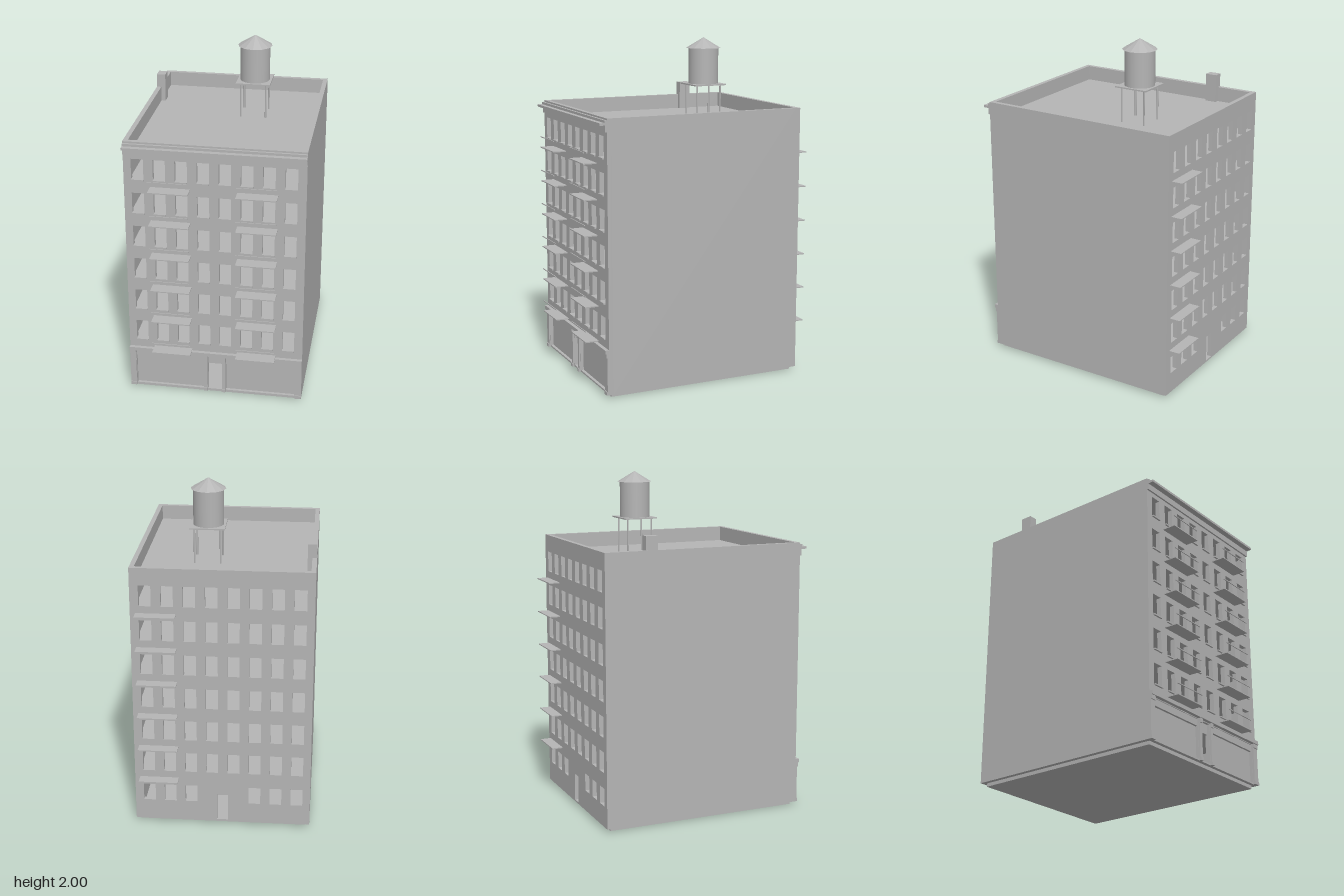
import * as THREE from 'three';

export function createModel() {
  const model = new THREE.Group();
  model.name = 'apartmentBuilding';
  const stone = new THREE.MeshStandardMaterial({ color: 0xb4b4b4 });
  stone.name = 'grey stone';

  const add = (name, geometry, parent = model) => {
    const mesh = new THREE.Mesh(geometry, stone);
    mesh.name = name;
    parent.add(mesh);
    return mesh;
  };
  // Box given by its minimum and maximum on each axis
  const box = (name, x0, x1, y0, y1, z0, z1, parent) => {
    const mesh = add(name, new THREE.BoxGeometry(x1 - x0, y1 - y0, z1 - z0), parent);
    mesh.position.set((x0 + x1) / 2, (y0 + y1) / 2, (z0 + z1) / 2);
    return mesh;
  };
  // Upright wall with rectangular openings [x0, x1, y0, y1]
  const wall = (name, openings, z, depth) => {
    const rect = (path, x0, x1, y0, y1) =>
      path.moveTo(x0, y0).lineTo(x1, y0).lineTo(x1, y1).lineTo(x0, y1).closePath();
    const shape = new THREE.Shape();
    rect(shape, -W, W, 0.02, TOP);
    for (const o of openings) {
      const hole = new THREE.Path();
      rect(hole, ...o);
      shape.holes.push(hole);
    }
    const mesh = add(name, new THREE.ExtrudeGeometry(shape, { depth, bevelEnabled: false }));
    mesh.position.z = z;
  };

  const W = 0.515, TOP = 1.6, FRONT = 0.602, BACK = -0.617, T = 0.027;
  const storey = 0.2068, sill = 0.342, winH = 0.122, half = 0.035;
  const columns = [...Array(8)].map((_, i) => -0.436 + i * 0.1238);
  const windows = [];
  for (let r = 0; r < 6; r++) {
    const y = sill + r * storey;
    for (const x of columns) windows.push([x - half, x + half, y, y + winH]);
  }

  // Outer walls
  const shops = [[-0.478, -0.07, 0.03, 0.26], [0.062, 0.474, 0.03, 0.26]];
  const doorway = [-0.044, 0.038, 0.03, 0.26];
  wall('frontWall', [...windows, ...shops, doorway], FRONT - T, T);
  const groundWindows = columns.filter((_, i) => i !== 3 && i !== 4)
    .map(x => [x - half, x + half, 0.145, 0.25]);
  wall('backWall', [...windows, ...groundWindows, [-0.032, 0.032, 0.03, 0.195]], BACK, T);
  for (const s of [-1, 1]) {
    const x = s * (W - T / 2);
    box('sideWall', x - T / 2, x + T / 2, 0.02, TOP, BACK + T, FRONT - T);
  }

  // Base, storey floors, dividing wall and roof
  box('base', -0.49, 0.49, 0, 0.02, -0.59, 0.58);
  const inside = (name, y0, y1) => box(name, -W + T, W - T, y0, y1, BACK + T, FRONT - T);
  inside('groundFloor', 0.02, 0.03);
  for (let r = 0; r < 6; r++) {
    const y = sill + r * storey;
    inside('storeyFloor', y - 0.06, y - 0.015);
  }
  inside('roof', 1.5, 1.512);
  box('dividingWall', -W + T, W - T, 0.03, 1.5, -0.01, 0.01);

  // Window sills on the front
  for (const [x0, x1, y] of windows) box('windowSill', x0, x1, y - 0.008, y, FRONT, FRONT + 0.01);

  // Shop fronts, entrance and pilasters
  for (const [x0, x1, y0, y1] of shops) {
    box('shopWindow', x0, x1, y0, y1, FRONT - 0.03, FRONT - 0.018);
    box('shopSignBand', x0, x1, 0.22, y1, FRONT - 0.018, FRONT - 0.004);
  }
  box('doorTransom', doorway[0], doorway[1], 0.2, 0.26, FRONT - T, FRONT - 0.015);
  for (const [x0, x1] of [[-W, -0.48], [-0.068, -0.046], [0.04, 0.06], [0.476, W]]) {
    box('pilaster', x0, x1, 0.02, 0.25, FRONT, FRONT + 0.01);
    box('pilasterFoot', x0, x1, 0.02, 0.04, FRONT, FRONT + 0.015);
    box('pilasterCapital', x0, x1, 0.24, 0.265, FRONT, FRONT + 0.016);
  }
  box('shopLedge', -W, W, 0.265, 0.287, FRONT, FRONT + 0.022);

  // Stepped cornice
  box('corniceFrieze', -W, W, 1.525, 1.562, FRONT, FRONT + 0.01);
  box('corniceShelf', -W, W, 1.562, 1.576, FRONT, 0.645);
  box('corniceCap', -W, W, 1.576, 1.59, FRONT, FRONT + 0.014);

  // Fire escape landings, with a front rail on the street side
  for (let r = 0; r < 6; r++) {
    const y = 0.297 + r * storey;
    for (const [x0, x1] of [[-0.365, -0.137], [0.129, 0.358]]) {
      box('frontLanding', x0, x1, y - 0.003, y + 0.003, FRONT, 0.683);
      box('landingRail', x0, x1, y + 0.062, y + 0.067, 0.678, 0.683);
    }
    box('backLanding', 0.256, 0.485, y - 0.003, y + 0.003, -0.683, BACK);
  }

  // Chimney
  box('chimney', -W + 0.001, -0.462, 1.512, 1.68, -0.372, -0.302);

  // Water tank on legs
  const tank = new THREE.Group();
  tank.name = 'waterTank';
  tank.position.set(0.114, 0, -0.182);
  model.add(tank);
  for (const x of [-0.075, 0.075]) for (const z of [-0.075, 0.075]) {
    add('tankLeg', new THREE.CylinderGeometry(0.005, 0.005, 0.21, 8), tank).position.set(x, 1.616, z);
  }
  box('tankPlatform', -0.102, 0.102, 1.72, 1.728, -0.102, 0.102, tank);
  add('tankBarrel', new THREE.CylinderGeometry(0.089, 0.089, 0.212, 24), tank).position.y = 1.834;
  add('tankRoof', new THREE.ConeGeometry(0.102, 0.062, 12).toNonIndexed(), tank).position.y = 1.969;
  tank.getObjectByName('tankRoof').geometry.computeVertexNormals();

  return model;
}
